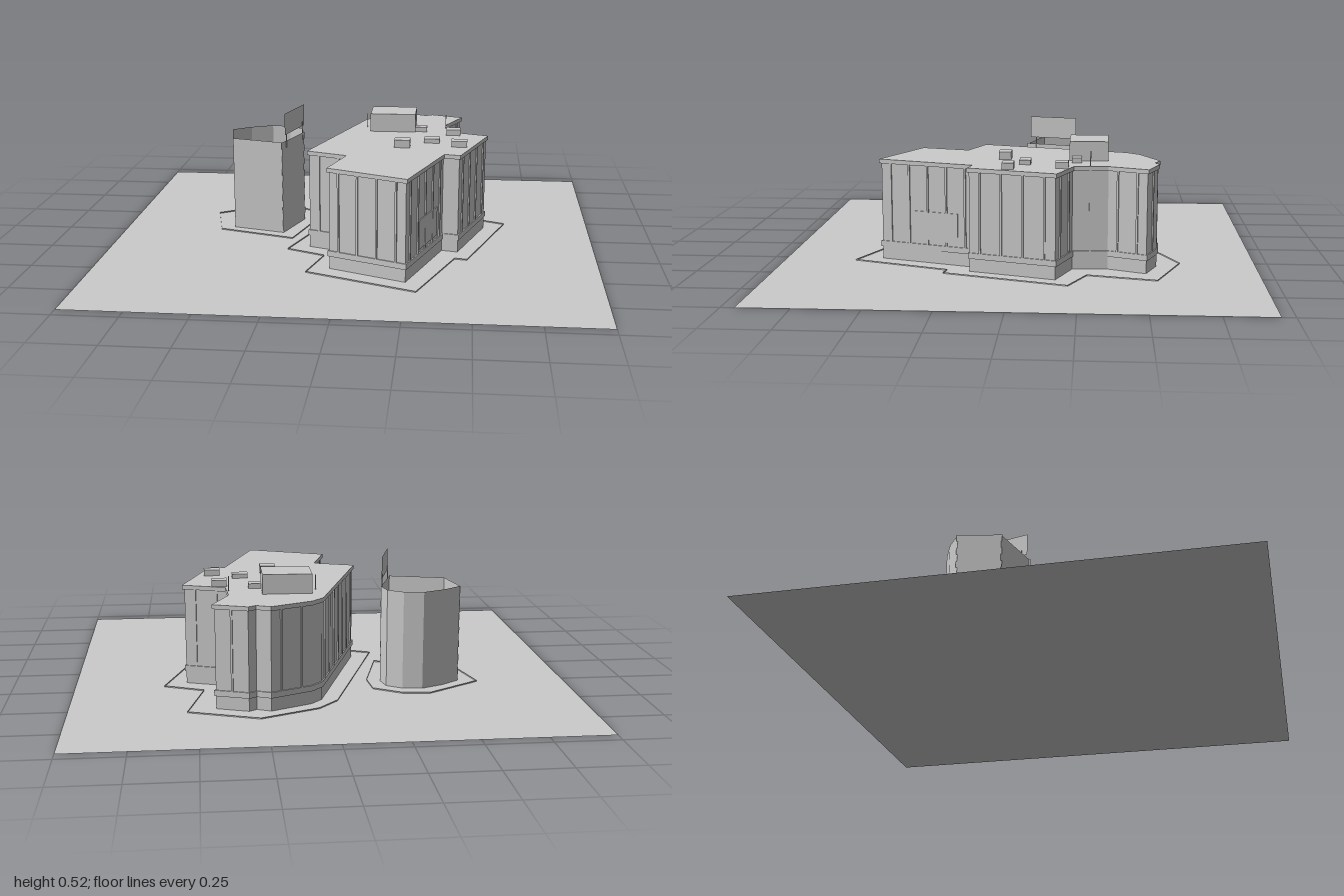
import * as THREE from 'three';

const solid = new THREE.MeshStandardMaterial({ color: 0xcccccc, flatShading: true });
const thin = new THREE.MeshStandardMaterial({ color: 0xcccccc, flatShading: true, side: THREE.DoubleSide });

// Footprints as [x, z]
const mainPlan = [
  [0.225, -0.56], [0.28, -0.535], [0.31, -0.555], [0.435, -0.51], [0.37, -0.36], [0.38, -0.22],
  [0.55, -0.16], [0.44, 0.18], [0.375, 0.165], [0.245, 0.555], [-0.062, 0.425], [-0.005, 0.225],
  [-0.172, 0.165], [0.02, -0.435], [0.065, -0.485],
];
const annexBack = [
  [-0.245, -0.21], [-0.26, -0.28], [-0.32, -0.32], [-0.4, -0.33], [-0.49, -0.29], [-0.565, -0.235],
];
const annexFrontLeft = [-0.533, -0.07], annexFrontRight = [-0.31, -0.01];

function add(parent, name, geometry, material = solid) {
  const mesh = new THREE.Mesh(geometry, material);
  mesh.name = name;
  parent.add(mesh);
  return mesh;
}

// Upright prism over a footprint
function prism(plan, y0, y1) {
  const shape = new THREE.Shape(plan.map(([x, z]) => new THREE.Vector2(x, -z)));
  const g = new THREE.ExtrudeGeometry(shape, { depth: y1 - y0, bevelEnabled: false });
  return g.rotateX(-Math.PI / 2).translate(0, y0, 0);
}

// Zero-thickness wall along a path
function wall(path, y0, y1) {
  const pos = [], index = [];
  path.forEach(([x, z], i) => {
    pos.push(x, y0, z, x, y1, z);
    if (i) {
      const a = 2 * i - 2;
      index.push(a, a + 1, a + 2, a + 2, a + 1, a + 3);
    }
  });
  const g = new THREE.BufferGeometry();
  g.setAttribute('position', new THREE.Float32BufferAttribute(pos, 3));
  g.setIndex(index);
  g.computeVertexNormals();
  return g;
}

function edgeNormal([ax, az], [bx, bz]) {
  const l = Math.hypot(bx - ax, bz - az);
  return [(bz - az) / l, (ax - bx) / l];
}

// Push a footprint outward with mitred corners
function grow(plan, d) {
  return plan.map((p, i) => {
    const m = edgeNormal(plan.at(i - 1), p), n = edgeNormal(p, plan[(i + 1) % plan.length]);
    const k = d / (1 + m[0] * n[0] + m[1] * n[1]);
    return [p[0] + (m[0] + n[0]) * k, p[1] + (m[1] + n[1]) * k];
  });
}

// Box standing against the wall a-b at fraction t
function wallBox(parent, name, a, b, t, width, y0, y1, depth) {
  const n = edgeNormal(a, b);
  const mesh = add(parent, name, new THREE.BoxGeometry(width, y1 - y0, depth));
  mesh.position.set(a[0] + (b[0] - a[0]) * t, (y0 + y1) / 2, a[1] + (b[1] - a[1]) * t);
  mesh.rotation.y = Math.atan2(n[0], n[1]);
}

function mainBuilding() {
  const g = new THREE.Group();
  g.name = 'mainBuilding';
  add(g, 'walls', prism(mainPlan, 0, 0.4));
  add(g, 'baseBand', prism(grow(mainPlan, 0.005), 0.052, 0.075));
  add(g, 'corniceAndRoof', prism(grow(mainPlan, 0.007), 0.395, 0.412));

  // Slim pilasters along every wall
  mainPlan.forEach((a, i) => {
    const b = mainPlan[(i + 1) % mainPlan.length];
    const count = Math.floor(Math.hypot(b[0] - a[0], b[1] - a[1]) / 0.08);
    for (let k = 0; k < count; k++) wallBox(g, 'pilaster', a, b, (k + 0.5) / count, 0.008, 0.075, 0.395, 0.01);
  });
  wallBox(g, 'wallPanel', mainPlan[8], mainPlan[9], 0.42, 0.2, 0.09, 0.21, 0.008);

  // Rooftop units: x0, x1, z0, z1, top
  const units = [
    [0.05, 0.245, -0.36, -0.205, 0.49], [0.245, 0.295, -0.255, -0.215, 0.432],
    [0.38, 0.44, -0.205, -0.155, 0.437], [0.29, 0.355, -0.055, -0.01, 0.43],
    [0.405, 0.47, 0.005, 0.05, 0.437], [0.17, 0.235, 0.03, 0.08, 0.444],
  ];
  for (const [x0, x1, z0, z1, top] of units) {
    const unit = add(g, 'roofUnit', new THREE.BoxGeometry(x1 - x0, top - 0.405, z1 - z0));
    unit.position.set((x0 + x1) / 2, (top + 0.405) / 2, (z0 + z1) / 2);
  }
  for (const x of [0.03, 0.375]) {
    add(g, 'mast', new THREE.CylinderGeometry(0.002, 0.002, 0.07, 6)).position.set(x, 0.437, -0.29);
  }
  return g;
}

function annex() {
  const g = new THREE.Group();
  g.name = 'annex';
  add(g, 'frontWall', wall([annexFrontLeft, annexFrontRight], 0, 0.4), thin);
  add(g, 'backWall', wall(annexBack, 0, 0.4), thin);

  // Side walls in courses with staggered, toothed ends
  const courses = 14, h = 0.4 / courses;
  for (const [a, b] of [[annexFrontRight, annexBack[0]], [annexBack.at(-1), annexFrontLeft]]) {
    for (let i = 0; i < courses; i++) {
      const e = i % 2 ? 0.03 : 0;
      const dx = (b[0] - a[0]) * e, dz = (b[1] - a[1]) * e;
      add(g, 'sideCourse', wall([[a[0] - dx, a[1] - dz], [b[0] + dx, b[1] + dz]], i * h, (i + 1) * h), thin);
    }
  }

  // Rooftop panel on two posts
  add(g, 'roofPanel', wall([[-0.3, -0.02], [-0.245, -0.22]], 0.43, 0.522), thin);
  for (const [x, z] of [[-0.297, -0.045], [-0.25, -0.2]]) {
    add(g, 'panelPost', new THREE.CylinderGeometry(0.002, 0.002, 0.08, 6)).position.set(x, 0.41, z);
  }
  return g;
}

export function createModel() {
  const model = new THREE.Group();
  model.name = 'buildingSite';
  add(model, 'ground', new THREE.PlaneGeometry(2, 1.9).rotateX(-Math.PI / 2), thin);
  model.add(mainBuilding(), annex());

  // Low kerb lines around both buildings
  add(model, 'mainKerb', wall([
    [0.545, -0.55], [0.27, -0.65], [0.04, -0.55], [-0.04, -0.46], [-0.26, 0.21], [-0.1, 0.28],
    [-0.15, 0.48], [0.29, 0.66], [0.43, 0.27], [0.48, 0.28], [0.64, -0.21], [0.48, -0.28], [0.545, -0.55],
  ], 0, 0.005), thin);
  add(model, 'annexKerb', wall([
    [-0.26, 0.07], [-0.19, -0.2], [-0.2, -0.32], [-0.31, -0.39], [-0.42, -0.4], [-0.64, -0.26],
    [-0.585, -0.03], [-0.26, 0.07],
  ], 0, 0.005), thin);
  return model;
}
